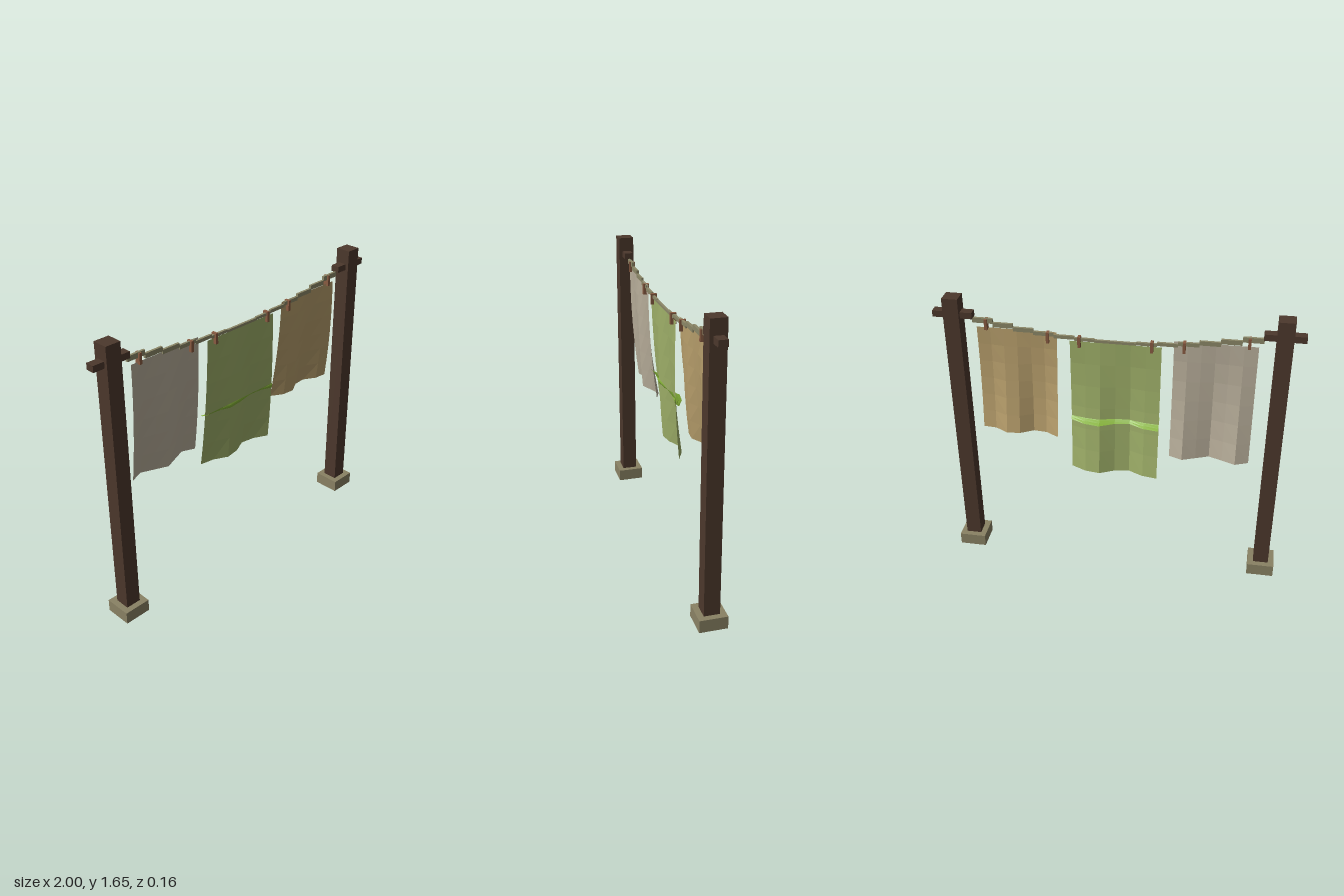
import * as THREE from 'three';

const material = (name, color, extra = {}) => {
  const m = new THREE.MeshStandardMaterial({ color, ...extra });
  m.name = name;
  return m;
};

export function createModel() {
  const group = new THREE.Group();
  const cloth = { side: THREE.DoubleSide, flatShading: true };
  const wood = material('dark wood', 0x4c382c);
  const stone = material('stone', 0x8a8264);
  const ropeMat = material('rope', 0x8c8868);
  const pegMat = material('peg wood', 0x8a5c42);
  const linen = material('grey linen', 0xb9af9b, cloth);
  const green = material('green cloth', 0x9fb069, cloth);
  const tan = material('tan cloth', 0xb89f6c, cloth);
  const lime = material('lime trim', 0x86b338, cloth);

  const add = (name, geometry, mat, x, y, z) => {
    const mesh = new THREE.Mesh(geometry, mat);
    mesh.name = name;
    mesh.position.set(x, y, z);
    group.add(mesh);
  };
  const box = (name, mat, w, h, d, x, y, z = 0) =>
    add(name, new THREE.BoxGeometry(w, h, d), mat, x, y, z);

  // Two posts with footings and short cross arms
  for (const [side, s] of [['left', 1], ['right', -1]]) {
    box(side + 'Footing', stone, 0.156, 0.072, 0.156, s * 0.89, 0.036);
    box(side + 'Post', wood, 0.088, 1.655, 0.088, s * 0.89, 0.8275);
    box(side + 'CrossArm', wood, 0.22, 0.036, 0.05, s * 0.89, 1.555);
  }

  // Sagging rope made of short stepped lengths
  const sag = x => 1.45 + 0.14 * x * x;
  const count = 14, step = 1.57 / count;
  for (let i = 0; i < count; i++) {
    const x = -0.785 + (i + 0.5) * step;
    const rise = Math.abs(sag(x + step / 2) - sag(x - step / 2));
    box('ropeSegment', ropeMat, step, 0.013 + rise * 0.7, 0.014, x, sag(x));
  }

  // Pegs, mirrored along the rope
  for (const [x, y] of [[0.71, 1.505], [0.37, 1.453], [0.197, 1.44]])
    for (const s of [-1, 1]) box('peg', pegMat, 0.016, 0.062, 0.034, s * x, y);

  // Hanging sheet: blown back and rippled more toward its lower edge
  const sheet = (name, mat, x0, x1, y0, y1, phase, z = 0) => {
    const w = x1 - x0, h = y1 - y0;
    const g = new THREE.PlaneGeometry(w, h, 6, 6);
    const p = g.attributes.position;
    for (let i = 0; i < p.count; i++) {
      const t = 0.5 - p.getY(i) / h;
      const u = p.getX(i) / w + 0.5;
      p.setZ(i, -0.05 * t * t - 0.03 * t * Math.sin(u * Math.PI * 3 + phase));
    }
    g.computeVertexNormals();
    add(name, g, mat, (x0 + x1) / 2, (y0 + y1) / 2, z);
  };
  sheet('greyCloth', linen, -0.76, -0.315, 0.785, 1.484, 0);
  sheet('greenCloth', green, -0.25, 0.25, 0.637, 1.44, 1.1);
  sheet('tanCloth', tan, 0.32, 0.765, 0.86, 1.484, 2.2);
  sheet('limeTrim', lime, -0.25, 0.25, 0.956, 1.002, 1.1, 0.002);

  return group;
}
